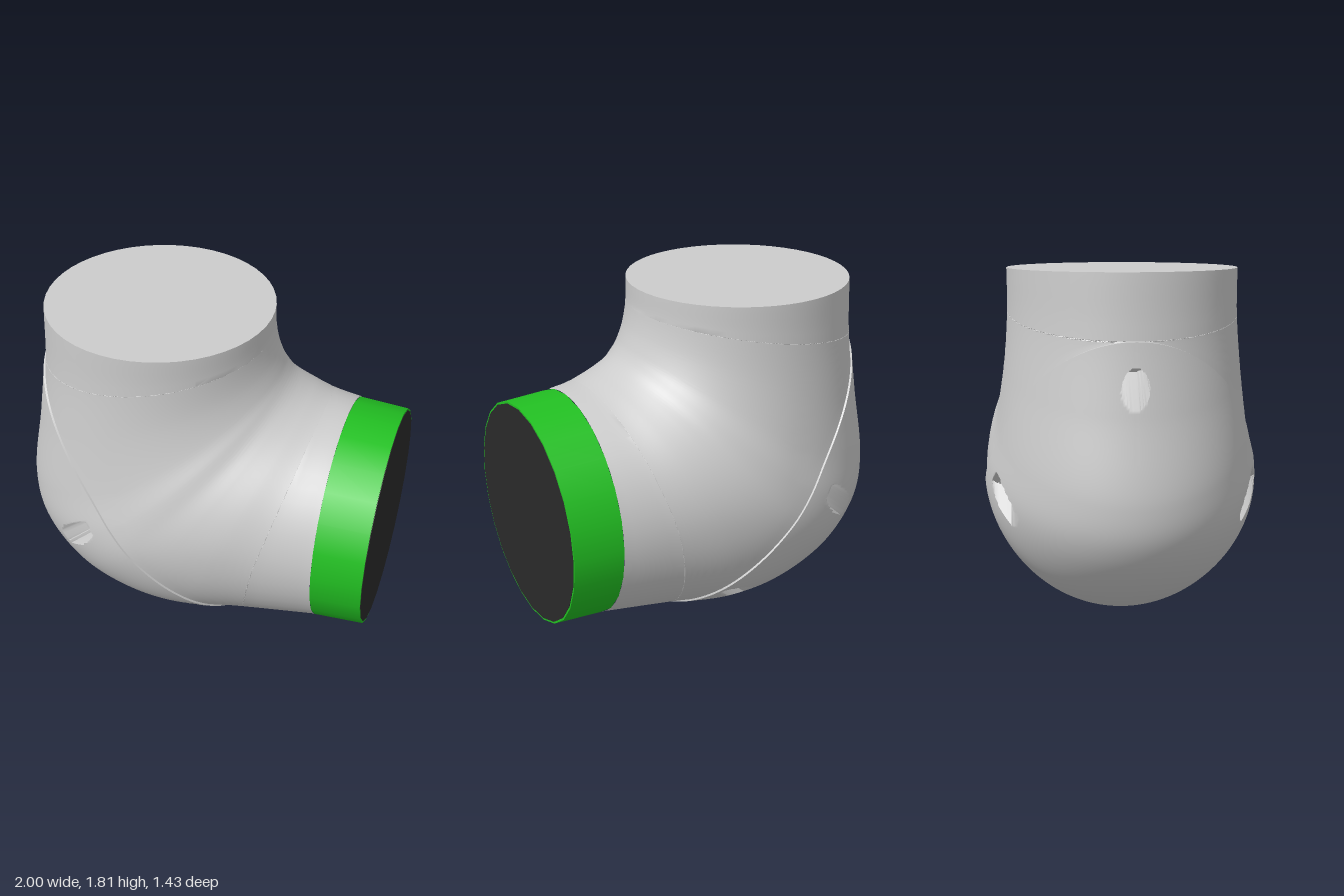
import * as THREE from 'three';
import { toCreasedNormals } from 'three/addons/utils/BufferGeometryUtils.js';

const V = (x, y, z = 0) => new THREE.Vector3(x, y, z);

// Elbow stations, from the top opening round to the side opening:
// outer x, y | inner x, y | widest point x, y | half width
const STATIONS = [
  [-0.85, 1.815, 0.32, 1.815, -0.265, 1.815, 0.585],
  [-0.87, 1.5, 0.325, 1.7, -0.27, 1.6, 0.585],
  [-0.92, 1.15, 0.345, 1.6, -0.28, 1.33, 0.605],
  [-0.99, 0.735, 0.375, 1.52, -0.26, 1.05, 0.645],
  [-0.93, 0.47, 0.40, 1.475, -0.22, 0.87, 0.69],
  [-0.70, 0.22, 0.43, 1.44, -0.16, 0.76, 0.707],
  [-0.38, 0.055, 0.47, 1.41, 0, 0.73, 0.703],
  [-0.05, 0.01, 0.53, 1.38, 0.2, 0.73, 0.68],
  [0.32, 0.07, 0.62, 1.35, 0.45, 0.735, 0.635],
  [0.74, 0.14, 0.74, 1.335, 0.74, 0.737, 0.596],
];
const LAST = STATIONS.length - 1;
const rail = (f) => new THREE.CatmullRomCurve3(STATIONS.map(f), false, 'catmullrom', 0.5);
const outer = rail((s) => V(s[0], s[1]));
const inner = rail((s) => V(s[2], s[3]));
const middle = rail((s) => V(s[4], s[5], s[6]));

// Egg-shaped cross-section v at angle a (0 = outer side), pushed out by offset
function surfacePoint(v, a, offset = 0) {
  const t = v / LAST;
  const m = middle.getPoint(t);
  const width = m.z;
  m.z = 0;
  const c = Math.cos(a);
  const arm = (c > 0 ? outer : inner).getPoint(t).sub(m).multiplyScalar(Math.abs(c));
  arm.z = Math.sin(a) * width;
  return m.add(arm).addScaledVector(arm.clone().normalize(), offset);
}

// Slanted plane that parts the cover from the body
const SEAM_START = 1, SEAM_END = 8;
const seamPoint = V(-0.87, 1.5);
const boreDir = V(1.43, 1.19).normalize();
function seamAngle(v) {
  if (v <= SEAM_START || v >= SEAM_END) return 0;
  let lo = 0, hi = Math.PI;
  for (let i = 0; i < 30; i++) {
    const mid = (lo + hi) / 2;
    if (surfacePoint(v, mid).sub(seamPoint).dot(boreDir) < 0) lo = mid;
    else hi = mid;
  }
  return lo;
}

// Skin over rows of points
function skin(rows, crease) {
  const cols = rows[0].length;
  const index = [];
  for (let i = 0; i < rows.length - 1; i++) {
    for (let j = 0; j < cols - 1; j++) {
      const a = i * cols + j, b = a + cols;
      index.push(a, b, a + 1, b, b + 1, a + 1);
    }
  }
  const geometry = new THREE.BufferGeometry().setFromPoints(rows.flat());
  geometry.setIndex(index);
  return toCreasedNormals(geometry, crease);
}

const range = (n, f) => Array.from({ length: n + 1 }, (_, i) => f(i / n));
const seamSteps = range(180, (t) =>
  SEAM_START + (SEAM_END - SEAM_START) * (1 - Math.cos(Math.PI * t)) / 2);

function bodyGeometry() {
  const steps = [
    ...range(5, (t) => t * SEAM_START).slice(0, -1),
    ...seamSteps,
    ...range(5, (t) => SEAM_END + t * (LAST - SEAM_END)).slice(1),
  ];
  const rows = steps.map((v) => {
    const a = seamAngle(v);
    return range(48, (t) => surfacePoint(v, a + t * 2 * (Math.PI - a)));
  });
  // flat lid on the top opening
  rows.unshift(rows[0].map(() => V(-0.265, 1.815)));
  return skin(rows, 0.7);
}

function coverGeometry() {
  const rows = seamSteps.map((v) => {
    const a = seamAngle(v);
    const row = range(150, (t) => surfacePoint(v, a * (2 * t - 1), 0.01));
    // rim turned in towards the body
    return [surfacePoint(v, -a, -0.015), ...row, surfacePoint(v, a, -0.015)];
  });
  const points = rows.flat();

  // screw bores, all square to the seam plane
  const radius = 0.062, depth = 0.16;
  const bores = [[-0.91, 1.28, 0], [-0.55, 0.67, 1], [-0.55, 0.67, -1], [-0.03, 0.19, 1], [-0.03, 0.19, -1]];
  const centres = bores.map(([x, y, side]) => {
    let best = null, bestDistance = Infinity;
    for (const p of points) {
      if (p.z * side < 0) continue;
      const d = Math.hypot(p.x - x, p.y - y, side ? 0 : p.z);
      if (d < bestDistance) { bestDistance = d; best = p; }
    }
    return best.clone();
  });
  for (const p of points) {
    for (const c of centres) {
      const along = p.clone().sub(c).dot(boreDir);
      const away = p.clone().sub(c).addScaledVector(boreDir, -along).length();
      if (away < radius && along < depth) {
        p.addScaledVector(boreDir, depth - along);
        break;
      }
    }
  }
  return skin(rows, 0.7);
}

export function createModel() {
  const group = new THREE.Group();
  const grey = new THREE.MeshStandardMaterial({ color: 0xcccccc });
  const green = new THREE.MeshStandardMaterial({ color: 0x22c022 });
  const dark = new THREE.MeshStandardMaterial({ color: 0x2a2a2a });
  const add = (name, geometry, material) => {
    const mesh = new THREE.Mesh(geometry, material);
    mesh.name = name;
    group.add(mesh);
    return mesh;
  };

  // Joint housing and its screwed-on cover
  add('elbowBody', bodyGeometry(), grey);
  add('rearCover', coverGeometry(), grey);

  // Coloured band and end plate on the side opening
  const disc = (name, top, bottom, length, x, material) => {
    const mesh = add(name, new THREE.CylinderGeometry(top, bottom, length, 24), material);
    mesh.rotation.z = -Math.PI / 2;
    mesh.position.set(x, 0.737, 0);
  };
  disc('collarBand', 0.584, 0.598, 0.258, 0.869, green);
  disc('endPlate', 0.574, 0.574, 0.02, 0.99, dark);
  return group;
}
